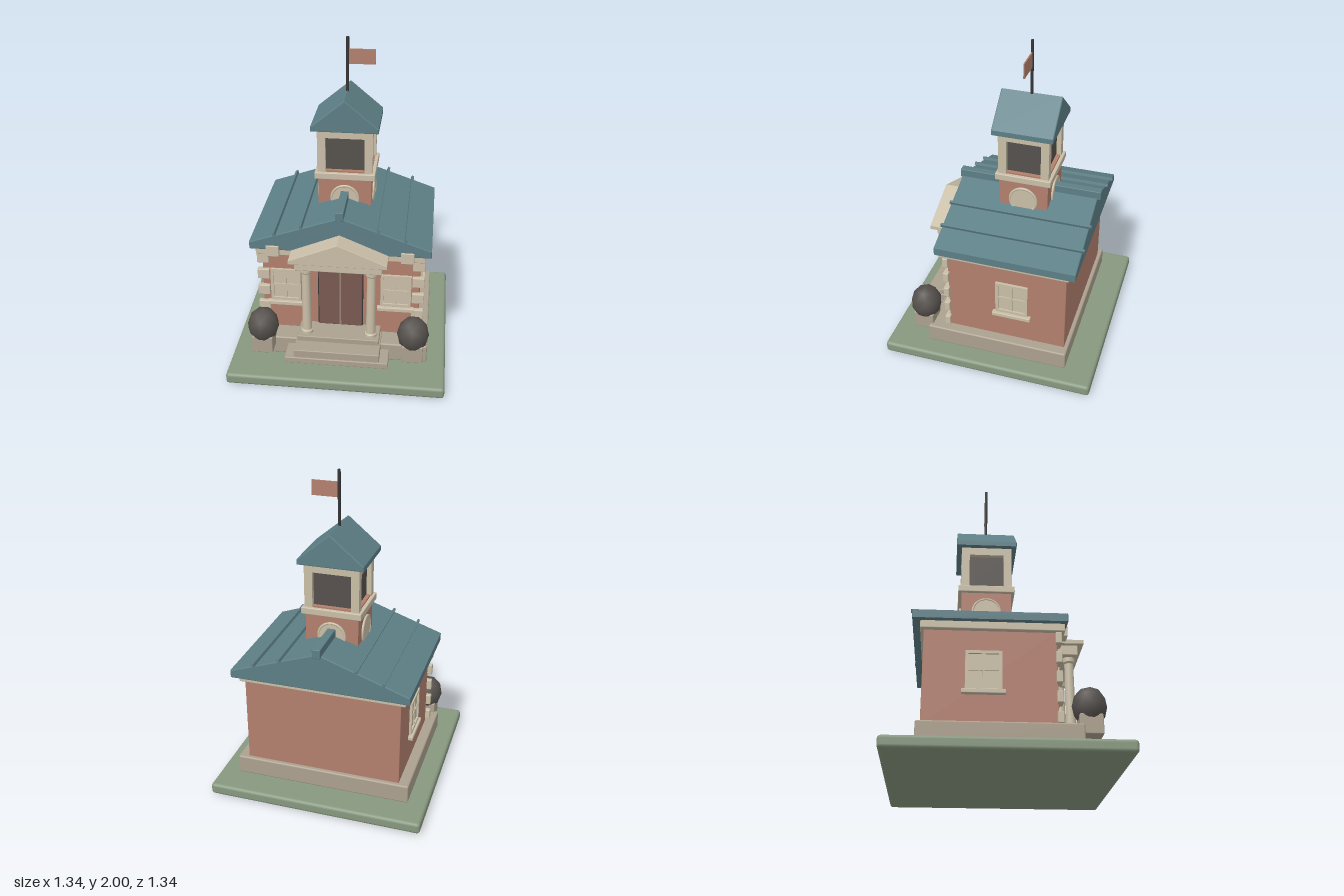
import * as THREE from 'three';
import { RoundedBoxGeometry } from 'three/addons/geometries/RoundedBoxGeometry.js';

const colours = {
  lawn: 0x87987f, brick: 0xb3806e, slate: 0x5d7f86, cream: 0xcabfa8, stone: 0xaca18f,
  charcoal: 0x56514d, doorBrown: 0x7a5a53, iron: 0x363636, doorSeam: 0x9a8478,
};
const M = {};

function mesh(parent, name, geometry, mat) {
  const m = new THREE.Mesh(geometry, M[mat]);
  m.name = name;
  parent.add(m);
  return m;
}

// Box given by its [min, max] range on each axis, with optional rounded edges
function box(parent, name, mat, [x0, x1], [y0, y1], [z0, z1], r = 0) {
  const s = [x1 - x0, y1 - y0, z1 - z0];
  const g = r ? new RoundedBoxGeometry(...s, 2, r) : new THREE.BoxGeometry(...s);
  const m = mesh(parent, name, g, mat);
  m.position.set((x0 + x1) / 2, (y0 + y1) / 2, (z0 + z1) / 2);
  return m;
}

// Gabled block with its ridge along z
function gable(parent, name, mat, half, yBase, yEave, yApex, z0, z1, b = 0.006) {
  const w = half - b;
  const shape = new THREE.Shape([[-w, yBase + b], [w, yBase + b], [w, yEave - b], [0, yApex - b], [-w, yEave - b]]
    .map(([x, y]) => new THREE.Vector2(x, y)));
  const g = new THREE.ExtrudeGeometry(shape, {
    depth: z1 - z0 - 2 * b, bevelEnabled: true, bevelSize: b, bevelThickness: b, bevelSegments: 2,
  });
  g.translate(0, 0, z0 + b);
  return mesh(parent, name, g, mat);
}

// Framed four-pane window facing +z, centred on its own origin
function makeWindow(w, h) {
  const g = new THREE.Group();
  g.name = 'window';
  const t = 0.018;
  box(g, 'panes', 'cream', [-w / 2, w / 2], [-h / 2, h / 2], [-0.005, 0.004]);
  for (const s of [-1, 1]) {
    const x = s * (w - t) / 2, y = s * (h - t) / 2;
    box(g, 'frameSide', 'cream', [x - t / 2, x + t / 2], [-h / 2, h / 2], [-0.005, 0.016]);
    box(g, 'frameRail', 'cream', [-w / 2 + t, w / 2 - t], [y - t / 2, y + t / 2], [-0.005, 0.016]);
  }
  box(g, 'mullion', 'cream', [-0.005, 0.005], [-h / 2 + t, h / 2 - t], [0, 0.011]);
  box(g, 'crossBar', 'cream', [-w / 2 + t, w / 2 - t], [-0.005, 0.005], [0, 0.011]);
  box(g, 'sill', 'cream', [-w / 2 - 0.02, w / 2 + 0.02], [-h / 2 - 0.03, -h / 2 - 0.004], [-0.01, 0.03], 0.004);
  return g;
}

// Round dial with a raised rim, facing +z
function makeDial() {
  const g = new THREE.Group();
  g.name = 'dial';
  const face = mesh(g, 'dialFace', new THREE.CylinderGeometry(0.085, 0.085, 0.02, 32), 'cream');
  face.rotation.x = Math.PI / 2;
  mesh(g, 'dialRim', new THREE.TorusGeometry(0.083, 0.008, 8, 40), 'cream').position.z = 0.006;
  return g;
}

function makeBody() {
  const g = new THREE.Group();
  g.name = 'hall';
  box(g, 'plinth', 'stone', [-0.555, 0.555], [0.07, 0.19], [-0.49, 0.415], 0.01);
  box(g, 'walls', 'brick', [-0.49, 0.49], [0.18, 0.75], [-0.465, 0.285], 0.004);
  box(g, 'cornice', 'cream', [-0.52, 0.52], [0.74, 0.79], [-0.485, 0.33], 0.006);
  gable(g, 'mainRoof', 'slate', 0.555, 0.785, 0.835, 1.027, -0.53, 0.345);
  box(g, 'ridgeCap', 'slate', [-0.025, 0.025], [1.01, 1.067], [-0.55, 0.355], 0.004);

  for (const s of [-1, 1]) {
    // Standing seams following the roof slope
    for (const x of [0.235, 0.4]) {
      const y = 1.027 - 0.192 * x / 0.555 + 0.008;
      const seam = box(g, 'roofSeam', 'slate', [-0.008, 0.008], [-0.01, 0.01], [-0.545, 0.352]);
      seam.position.x = s * x;
      seam.position.y = y;
      seam.rotation.z = -s * Math.atan(0.192 / 0.555);
    }
    // Corner stones on the front
    for (let i = 0; i < 5; i++) {
      const y = 0.235 + i * 0.1165;
      const q = box(g, 'cornerStone', 'cream', [-0.0375, 0.0375], [y - 0.034, y + 0.034], [0.275, 0.31], 0.005);
      q.position.x = s * 0.4825;
    }
    box(g, 'eaveBlock', 'cream', [-0.04, 0.04], [0.74, 0.815], [0.275, 0.352], 0.005).position.x = s * 0.412;

    const front = makeWindow(0.19, 0.225);
    front.position.set(s * 0.345, 0.508, 0.285);
    const side = makeWindow(0.205, 0.225);
    side.position.set(s * 0.49, 0.503, -0.127);
    side.rotation.y = s * Math.PI / 2;
    g.add(front, side);
  }
  return g;
}

function makePorch() {
  const g = new THREE.Group();
  g.name = 'porch';
  box(g, 'lowerStep', 'stone', [-0.32, 0.32], [0.11, 0.15], [0.4, 0.562], 0.005);
  box(g, 'upperStep', 'stone', [-0.265, 0.265], [0.145, 0.2], [0.3, 0.552], 0.005);
  box(g, 'porchFloor', 'stone', [-0.255, 0.255], [0.185, 0.235], [0.28, 0.45], 0.005);
  box(g, 'doorFrame', 'iron', [-0.142, 0.142], [0.23, 0.665], [0.28, 0.292]);
  box(g, 'door', 'doorBrown', [-0.136, 0.136], [0.235, 0.659], [0.285, 0.302], 0.004);
  box(g, 'doorSeam', 'doorSeam', [-0.005, 0.005], [0.24, 0.65], [0.3, 0.306]);

  // Columns as turned profiles with base and capital
  const profile = [[0, 0], [0.037, 0], [0.037, 0.02], [0.031, 0.026], [0.03, 0.03], [0.027, 0.435],
    [0.035, 0.445], [0.035, 0.475], [0, 0.475]].map(([x, y]) => new THREE.Vector2(x, y));
  for (const s of [-1, 1]) {
    // Separate spans keep the profile edges crisp
    for (let i = 0; i < profile.length - 1; i++) {
      mesh(g, 'column', new THREE.LatheGeometry([profile[i], profile[i + 1]], 20), 'cream')
        .position.set(s * 0.2, 0.233, 0.39);
    }
  }
  box(g, 'entablature', 'cream', [-0.265, 0.265], [0.705, 0.77], [0.28, 0.437], 0.005);
  gable(g, 'pediment', 'cream', 0.296, 0.765, 0.79, 0.912, 0.28, 0.47, 0.003);
  return g;
}

function makeTower() {
  const g = new THREE.Group();
  g.name = 'tower';
  g.position.z = -0.1;
  box(g, 'towerBase', 'brick', [-0.165, 0.165], [0.88, 1.2], [-0.153, 0.153]);
  box(g, 'towerBand', 'cream', [-0.187, 0.187], [1.147, 1.19], [-0.174, 0.174], 0.005);
  for (let i = 0; i < 4; i++) {
    const dial = makeDial();
    const d = i % 2 ? 0.165 : 0.153;
    dial.rotation.y = i * Math.PI / 2;
    dial.position.set(Math.sin(dial.rotation.y) * d, 1.018, Math.cos(dial.rotation.y) * d);
    g.add(dial);
  }
  // Open belfry: dark core, corner posts and top beam
  box(g, 'belfryCore', 'charcoal', [-0.14, 0.14], [1.19, 1.44], [-0.128, 0.128]);
  for (const sx of [-1, 1]) for (const sz of [-1, 1]) {
    box(g, 'belfryPost', 'cream', [-0.025, 0.025], [1.185, 1.44], [-0.025, 0.025])
      .position.set(sx * 0.145, 1.3125, sz * 0.132);
  }
  box(g, 'belfryBeam', 'cream', [-0.17, 0.17], [1.415, 1.47], [-0.157, 0.157]);
  gable(g, 'belfryRoof', 'slate', 0.205, 1.465, 1.5, 1.667, -0.188, 0.188);

  const pole = mesh(g, 'flagpole', new THREE.CylinderGeometry(0.009, 0.009, 0.36, 12), 'iron');
  pole.position.y = 1.82;
  box(g, 'flag', 'brick', [0.006, 0.167], [1.835, 1.927], [-0.004, 0.004]);
  return g;
}

function makePlanter(side) {
  const g = new THREE.Group();
  g.name = 'planter';
  g.position.set(side * 0.465, 0, 0.455);
  box(g, 'planterBox', 'stone', [-0.065, 0.065], [0.14, 0.255], [-0.065, 0.065], 0.006);
  const bush = mesh(g, 'bush', new THREE.IcosahedronGeometry(0.098, 1), 'charcoal');
  bush.scale.y = 1.17;
  bush.position.y = 0.312;
  return g;
}

export function createModel() {
  for (const [name, color] of Object.entries(colours)) {
    M[name] = new THREE.MeshStandardMaterial({ color });
    M[name].name = name;
  }
  M.cream.side = THREE.DoubleSide;
  const model = new THREE.Group();
  model.name = 'townHall';
  box(model, 'lawn', 'lawn', [-0.672, 0.672], [0, 0.072], [-0.672, 0.672], 0.02);
  model.add(makeBody(), makePorch(), makeTower(), makePlanter(-1), makePlanter(1));
  return model;
}
